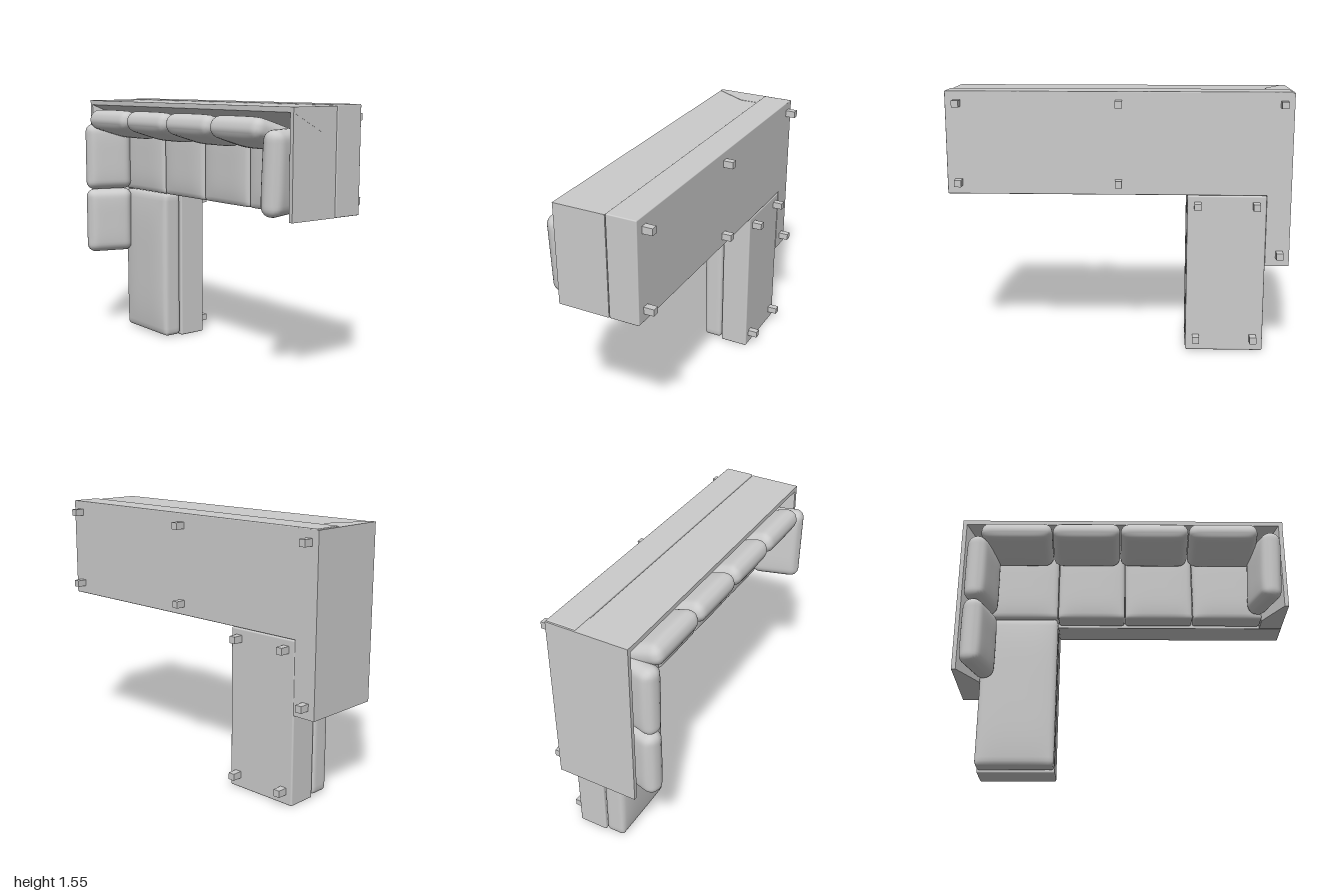
import * as THREE from 'three';
import { mergeVertices } from 'three/addons/utils/BufferGeometryUtils.js';
import { RoundedBoxGeometry } from 'three/addons/geometries/RoundedBoxGeometry.js';

const material = new THREE.MeshStandardMaterial({ color: 0xcccccc });

function part(parent, name, geometry, x = 0, y = 0, z = 0) {
  const mesh = new THREE.Mesh(geometry, material);
  mesh.name = name;
  mesh.position.set(x, y, z);
  parent.add(mesh);
  return mesh;
}

// Rounded box between two corners
function block(parent, name, [x0, x1], [y0, y1], [z0, z1], r = 0.006) {
  return part(parent, name, new RoundedBoxGeometry(x1 - x0, y1 - y0, z1 - z0, 2, r),
    (x0 + x1) / 2, (y0 + y1) / 2, (z0 + z1) / 2);
}

// Soft cushion: box with rounded edges whose wide faces swell (z is the thickness)
function cushionGeometry(w, h, t, r, top, bottom) {
  const seg = (s) => Math.max(10, Math.min(40, Math.round(s / 0.016)));
  let g = new THREE.BoxGeometry(w, h, t, seg(w), seg(h), seg(t));
  g.deleteAttribute('uv');
  g.deleteAttribute('normal');
  g = mergeVertices(g);
  const p = g.attributes.position;
  const half = new THREE.Vector3(w / 2, h / 2, t / 2);
  const inner = half.clone().subScalar(r);
  const v = new THREE.Vector3(), core = new THREE.Vector3();
  for (let i = 0; i < p.count; i++) {
    v.fromBufferAttribute(p, i);
    const u = v.x / half.x, s = v.y / half.y, d = v.z / half.z;
    core.copy(v).clamp(inner.clone().negate(), inner);
    v.sub(core).setLength(r).add(core);
    const swell = (1 - u ** 4) * (1 - s ** 4);
    v.z += swell * d * (d > 0 ? top : bottom);
    p.setXYZ(i, v.x, v.y, v.z);
  }
  g.computeVertexNormals();
  return g;
}

// Sloped wall: profile extruded, then turned so its axes follow the given ones
function wall(parent, name, points, length, ax, ay, az, position) {
  const shape = new THREE.Shape(points.map(([a, b]) => new THREE.Vector2(a, b)));
  const g = new THREE.ExtrudeGeometry(shape, { depth: length, bevelEnabled: false });
  g.applyMatrix4(new THREE.Matrix4().makeBasis(ax, ay, az));
  return part(parent, name, g, ...position);
}

// Leaning pillow; turn 0 rests against the back, other turns rest on the arms
function pillow(parent, name, width, x, y, z, turn = 0) {
  const holder = new THREE.Group();
  holder.name = name;
  holder.position.set(x, y, z);
  holder.rotation.z = turn;
  const mesh = part(holder, name + 'Body', cushionGeometry(width, 0.3, 0.11, 0.05, 0.014, 0.012));
  mesh.rotation.x = Math.PI / 2 - 0.3;
  parent.add(holder);
}

export function createModel() {
  const sofa = new THREE.Group();
  sofa.name = 'cornerSofa';
  const X = new THREE.Vector3(1, 0, 0), Y = new THREE.Vector3(0, 1, 0), Z = new THREE.Vector3(0, 0, 1);
  const down = Y.clone().negate();

  // Bases
  block(sofa, 'mainBase', [-0.99, 1], [0.95, 1.55], [-0.27, -0.092]);
  block(sofa, 'chaiseBase', [-0.86, -0.4], [0, 0.948], [-0.27, -0.09], 0.01);

  // Back and arms, thick at the seat and thin at the rim
  wall(sofa, 'backrest', [[1.543, -0.088], [1.41, -0.088], [1.41, 0.02], [1.515, 0.22], [1.543, 0.22]],
    1.996, Y, Z, X, [-0.998, 0, 0]);
  wall(sofa, 'chaiseArm', [[-1, -0.27], [-0.86, -0.27], [-0.86, 0.02], [-0.975, 0.22], [-1, 0.22]],
    1.015, X, Z, down, [0, 1.545, 0]);
  wall(sofa, 'sideArm', [[0.997, -0.088], [0.86, -0.088], [0.86, 0.02], [0.972, 0.22], [0.997, 0.22]],
    0.593, X, Z, down, [0, 1.543, 0]);

  // Seat cushions
  const seams = [-0.862, -0.402, 0.013, 0.433, 0.862];
  for (let i = 0; i < 4; i++) {
    const w = seams[i + 1] - seams[i] - 0.003;
    part(sofa, 'seatCushion' + (i + 1), cushionGeometry(w, 0.47, 0.118, 0.018, 0.016, 0),
      (seams[i] + seams[i + 1]) / 2, 1.19, -0.023);
  }
  part(sofa, 'chaiseCushion', cushionGeometry(0.46, 0.94, 0.118, 0.022, 0.018, 0), -0.63, 0.48, -0.023);

  // Pillows along the back and on the arms
  const backSeams = [-0.875, -0.436, -0.017, 0.403, 0.83];
  for (let i = 0; i < 4; i++) {
    pillow(sofa, 'backPillow' + (i + 1), backSeams[i + 1] - backSeams[i] - 0.004,
      (backSeams[i] + backSeams[i + 1]) / 2, 1.396, 0.173);
  }
  pillow(sofa, 'chaisePillowRear', 0.43, -0.862, 1.175, 0.173, Math.PI / 2);
  pillow(sofa, 'chaisePillowFront', 0.42, -0.862, 0.749, 0.173, Math.PI / 2);
  pillow(sofa, 'sidePillow', 0.455, 0.868, 1.2, 0.168, -Math.PI / 2 - 0.05);

  // Feet
  const feet = [[-0.94, 1.48], [-0.94, 0.6], [0, 1.48], [0, 1.02], [0.93, 1.48], [0.93, 1.02],
    [-0.8, 0.89], [-0.46, 0.89], [-0.8, 0.08], [-0.46, 0.08]];
  const foot = new THREE.BoxGeometry(0.04, 0.04, 0.065);
  feet.forEach(([x, y], i) => part(sofa, 'foot' + (i + 1), foot, x, y, -0.2975));

  return sofa;
}
